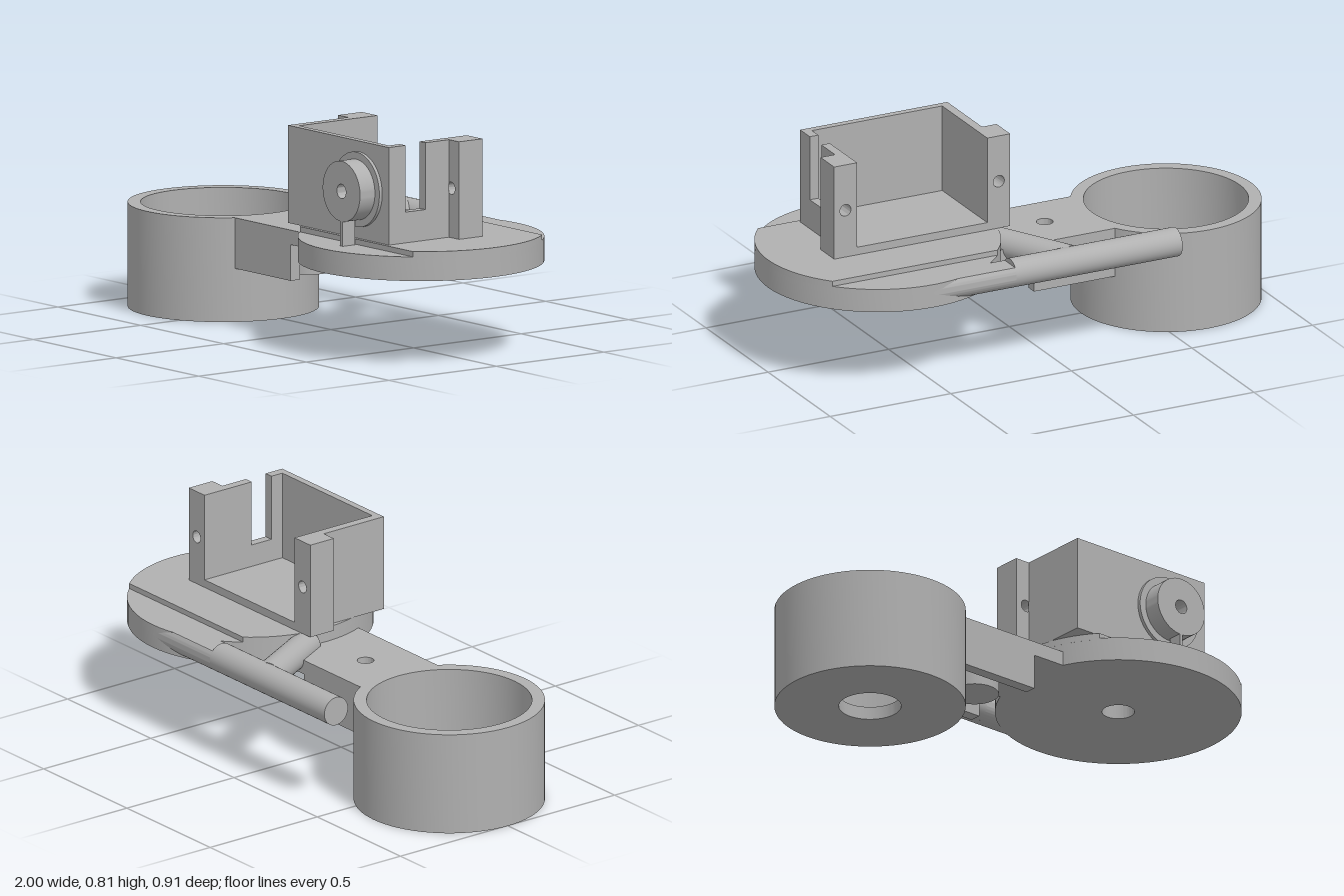
import * as THREE from 'three';
import { toCreasedNormals } from 'three/addons/utils/BufferGeometryUtils.js';

const grey = new THREE.MeshStandardMaterial({ color: 0xb0b0b0 });
grey.name = 'grey plastic';

export function createModel() {
  const model = new THREE.Group();
  model.name = 'cupAndTrayMount';

  const add = (name, geometry, x = 0, y = 0, z = 0) => {
    const mesh = new THREE.Mesh(geometry, grey);
    mesh.name = name;
    mesh.position.set(x, y, z);
    model.add(mesh);
    return mesh;
  };
  // Box from its lower and upper limits
  const box = (name, x0, x1, y0, y1, z0, z1) =>
    add(name, new THREE.BoxGeometry(x1 - x0, y1 - y0, z1 - z0), (x0 + x1) / 2, (y0 + y1) / 2, (z0 + z1) / 2);
  // Turned part from [radius, height] points, bottom to top on the outside
  const turned = (points) => toCreasedNormals(
    new THREE.LatheGeometry(points.map(([r, y]) => new THREE.Vector2(r, y)), 72), 0.6);
  const extrude = (shape, depth) => toCreasedNormals(
    new THREE.ExtrudeGeometry(shape, { depth, bevelEnabled: false, curveSegments: 40 }), 0.6);
  const rect = (x0, x1, y0, y1) => new THREE.Shape([
    [x0, y0], [x1, y0], [x1, y1], [x0, y1]].map(([x, y]) => new THREE.Vector2(x, y)));
  const hole = (shape, x, y, r) => {
    const path = new THREE.Path();
    path.absarc(x, y, r, 0, Math.PI * 2, true);
    shape.holes.push(path);
    return shape;
  };
  // Extrusion lying flat and rising from y0
  const flat = (name, shape, y0, y1) => add(name, extrude(shape, y1 - y0).rotateX(-Math.PI / 2), 0, y0, 0);

  // Open cup with a drain hole
  add('cup', turned([[0.115, 0.05], [0.115, 0], [0.353, 0], [0.353, 0.39],
    [0.305, 0.39], [0.305, 0.05], [0.115, 0.05]]), -0.65, 0, 0);

  // Arm between the cup and the turntable
  flat('armPlate', hole(rect(-0.345, 0.15, -0.18, 0.18), -0.147, 0, 0.031), 0.335, 0.39);
  for (const s of [-1, 1]) {
    const rail = box('armRail', -0.345, -0.01, 0.2, 0.336, 0.136, 0.18);
    rail.position.z *= s;
  }
  add('armPeg', new THREE.CylinderGeometry(0.09, 0.09, 0.135, 48), -0.147, 0.2675, 0);

  // Round base, blind hole underneath, raised band on top
  add('disc', turned([[0, 0.415], [0.06, 0.415], [0.06, 0.335], [0.455, 0.335], [0.455, 0.425], [0, 0.425]]), 0.545, 0, 0);
  const a = Math.asin(0.3 / 0.455);
  const band = new THREE.Shape();
  band.absarc(0.545, 0, 0.455, -a, a, false);
  band.absarc(0.545, 0, 0.455, Math.PI - a, Math.PI + a, false);
  flat('raisedBand', band, 0.42, 0.445);

  // Rear rod, trimmed level with the disc where they meet
  const rodR = 0.055;
  add('rearRod', new THREE.CylinderGeometry(rodR, rodR, 0.688, 40).rotateZ(Math.PI / 2), -0.141, 0.39, -0.4);
  const cut = Math.asin(0.035 / rodR);
  const trimmed = new THREE.Shape();
  trimmed.absarc(0, 0, rodR, Math.PI - cut, Math.PI * 2 + cut, false);
  add('trimmedRod', extrude(trimmed, 0.342).rotateY(Math.PI / 2), 0.203, 0.39, -0.4);

  // Slanted strut from the rod to the disc
  const from = new THREE.Vector3(-0.055, 0.39, -0.385);
  const to = new THREE.Vector3(0.115, 0.39, -0.07);
  const strut = add('strut', new THREE.CylinderGeometry(rodR, rodR, from.distanceTo(to), 40));
  strut.position.copy(from).lerp(to, 0.5);
  strut.quaternion.setFromUnitVectors(new THREE.Vector3(0, 1, 0), to.clone().sub(from).normalize());

  // Tray: floor, front wall and side walls
  const y0 = 0.445, y1 = 0.81;
  box('trayFloor', 0.11, 0.72, y0, 0.475, -0.105, 0.285);
  box('trayFrontWall', 0.11, 0.72, y0, y1, 0.258, 0.285);
  box('trayRightWall', 0.11, 0.145, y0, y1, 0.004, 0.26);

  // Left wall, notched from the top
  const notched = new THREE.Shape([[-0.26, y0], [-0.004, y0], [-0.004, y1], [-0.115, y1],
    [-0.115, 0.56], [-0.207, 0.56], [-0.207, y1], [-0.26, y1]].map(([x, y]) => new THREE.Vector2(x, y)));
  add('trayLeftWall', extrude(notched, 0.035).rotateY(Math.PI / 2), 0.685, 0, 0);

  // Rear posts with screw holes
  for (const [x0, x1, hx] of [[0.05, 0.145, 0.097], [0.685, 0.78, 0.733]])
    add('trayPost', extrude(hole(rect(x0, x1, y0, y1), hx, 0.63, 0.023), 0.11), 0, 0, -0.105);

  // Round boss on the front wall, with its thin support tab
  add('bossFlange', new THREE.CylinderGeometry(0.14, 0.14, 0.017, 64).rotateX(Math.PI / 2), 0.54, 0.63, 0.2895);
  add('boss', turned([[0.113, 0], [0.113, 0.07], [0.027, 0.07], [0.027, 0.005], [0, 0.005]])
    .rotateX(Math.PI / 2), 0.54, 0.63, 0.297);
  box('bossTab', 0.533, 0.547, 0.42, 0.525, 0.31, 0.367);

  return model;
}
